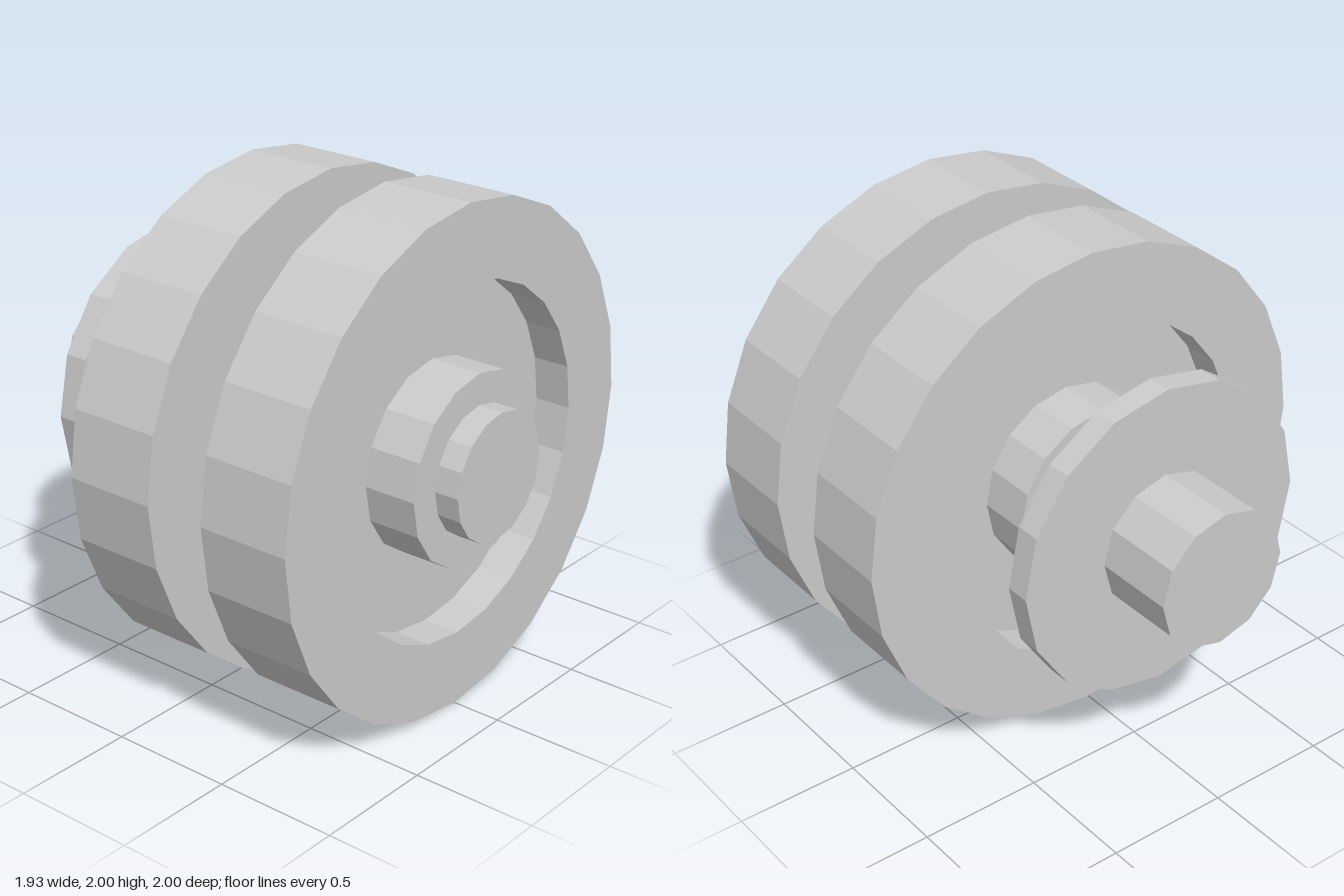
import * as THREE from 'three';

export function createModel() {
  const model = new THREE.Group();
  const material = new THREE.MeshStandardMaterial({ color: 0xcccccc, flatShading: true });

  // Adds a part turned about the x axis, at the height of the axle
  function addTurned(name, geometry, x) {
    geometry.rotateZ(-Math.PI / 2);
    const mesh = new THREE.Mesh(geometry, material);
    mesh.name = name;
    mesh.position.set(x, 1, 0);
    model.add(mesh);
  }

  function addCylinder(name, radius, x0, x1, sides) {
    addTurned(name, new THREE.CylinderGeometry(radius, radius, x1 - x0, sides), (x0 + x1) / 2);
  }

  // Wheel section: wide rim around a thin web, recessed on both faces
  const half = 0.19, web = 0.04, outer = 1, recess = 0.695, bore = 0.3;
  const section = [
    [bore, -web], [recess, -web], [recess, -half], [outer, -half],
    [outer, half], [recess, half], [recess, web], [bore, web],
  ].map(([r, y]) => new THREE.Vector2(r, y));

  addTurned('innerWheel', new THREE.LatheGeometry(section, 24), -0.02);
  addTurned('outerWheel', new THREE.LatheGeometry(section, 24), 0.61);

  // Hub through both wheels, with the axle stub on the outer end
  addCylinder('hub', 0.378, -0.275, 0.865, 16);
  addCylinder('axleStub', 0.253, 0.865, 0.965, 16);

  // Axle and its flange on the inner end
  addCylinder('axle', 0.279, -0.968, -0.275, 12);
  addCylinder('flange', 0.635, -0.64, -0.54, 16);

  return model;
}
